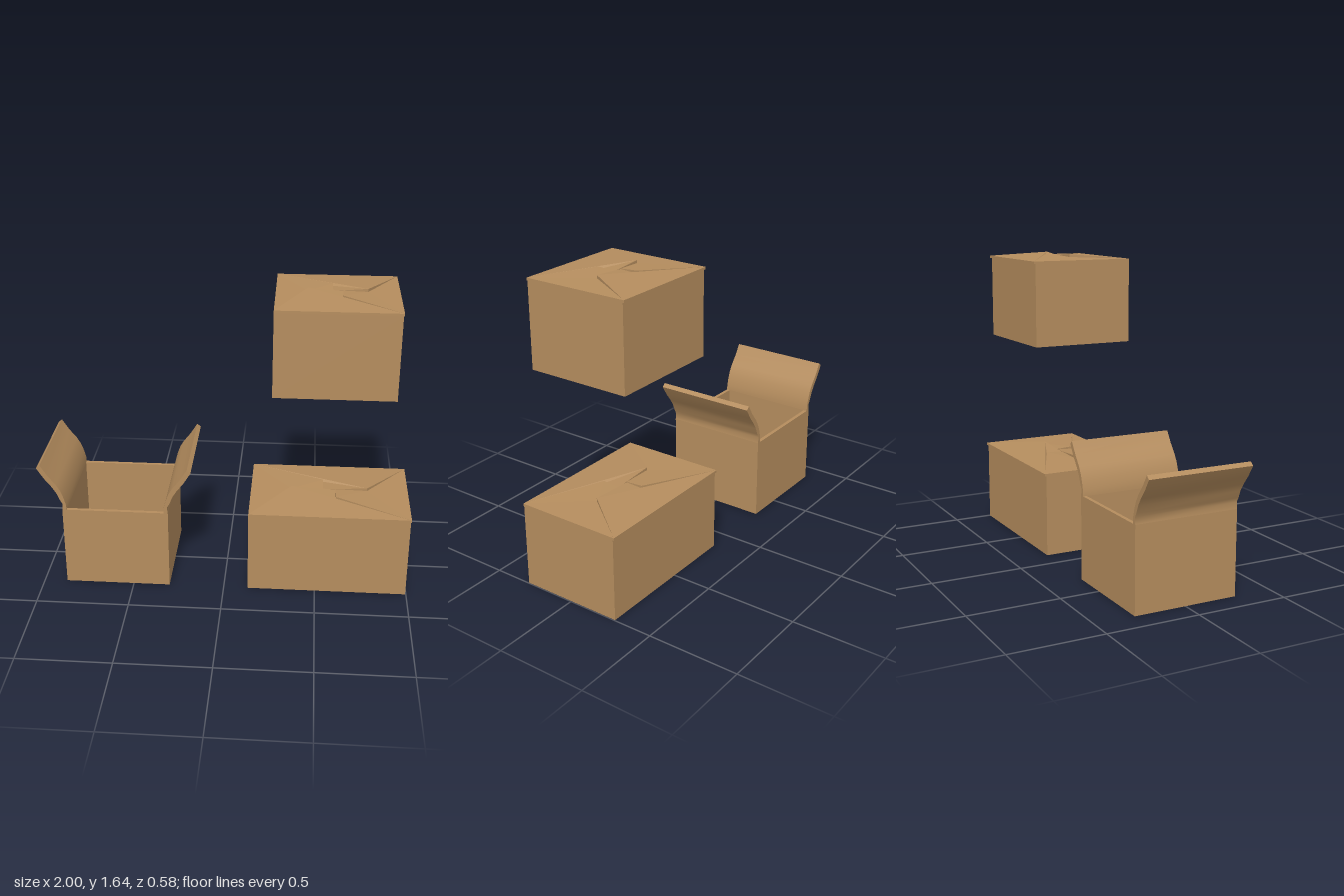
import * as THREE from 'three';
import { toCreasedNormals } from 'three/addons/utils/BufferGeometryUtils.js';

const cardboard = new THREE.MeshStandardMaterial({ color: 0xb58d5e });
cardboard.name = 'cardboard';

function part(name, geometry, parent) {
  const mesh = new THREE.Mesh(geometry, cardboard);
  mesh.name = name;
  parent.add(mesh);
  return mesh;
}

// Box given by its minimum and maximum corners
function block(x0, x1, y0, y1, z0, z1) {
  return new THREE.BoxGeometry(x1 - x0, y1 - y0, z1 - z0)
    .translate((x0 + x1) / 2, (y0 + y1) / 2, (z0 + z1) / 2);
}

// Lid flap outlines as [u, v, rise]; u and v run -1..1 over the lid, first corner starts the fan
const longFlap = [[-0.48, 0, 0.024], [-1, 1, 0], [1, 1, 0], [0.08, 0.33, 0.004], [0.08, 0, 0.009]];
const sideFlap = [[-0.48, 0, 0.008], [-0.08, 0, 0.012], [-0.08, -0.33, 0.018], [-1, -1, 0], [-1, 1, 0]];
const turned = (outline) => outline.map(([u, v, h]) => [-u, -v, h]);
const lidFlaps = {
  frontLidFlap: longFlap,
  rearLidFlap: turned(longFlap),
  leftSideLidFlap: sideFlap,
  rightSideLidFlap: turned(sideFlap),
};

// Bent flap with a flat underside and upright edges
function lidFlap(outline, x0, x1, z0, z1, yBase, yTop) {
  const place = ([u, v, h]) => [
    (x0 + x1) / 2 + u * (x1 - x0) / 2, yTop + h, (z0 + z1) / 2 + v * (z1 - z0) / 2];
  const top = outline.map(place);
  const low = top.map(([x, , z]) => [x, yBase, z]);
  const n = top.length;
  const pos = [];
  for (let i = 1; i < n - 1; i++) {
    pos.push(...top[0], ...top[i], ...top[i + 1], ...low[0], ...low[i + 1], ...low[i]);
  }
  for (let i = 0; i < n; i++) {
    const j = (i + 1) % n;
    pos.push(...top[i], ...low[i], ...low[j], ...top[i], ...low[j], ...top[j]);
  }
  const g = new THREE.BufferGeometry();
  g.setAttribute('position', new THREE.Float32BufferAttribute(pos, 3));
  g.computeVertexNormals();
  return g;
}

// Shut box with four interlocked flaps on top
function closedBox(name, x0, x1, y0, y1) {
  const box = new THREE.Group();
  box.name = name;
  const lidBase = y1 - 0.013;
  part('closedBoxBody', block(x0, x1 - 0.004, y0, lidBase, -0.283, 0.29), box);
  for (const [flapName, outline] of Object.entries(lidFlaps)) {
    part(flapName, lidFlap(outline, x0, x1, -0.293, 0.291, lidBase, y1), box);
  }
  return box;
}

// Open box with two flaps curling outward
function openBox() {
  const box = new THREE.Group();
  box.name = 'openBox';
  const cx = -0.5875, half = 0.287, wall = 0.024, height = 0.455, z0 = -0.284, z1 = 0.29;
  for (const s of [-1, 1]) {
    const x = cx + s * (half - wall / 2);
    part(s < 0 ? 'rightSideWall' : 'leftSideWall',
      block(x - wall / 2, x + wall / 2, 0, height, z0, z1), box);
  }
  const xa = cx - half + wall, xb = cx + half - wall;
  part('frontWall', block(xa, xb, 0, height, z1 - 0.02, z1), box);
  part('rearWall', block(xa, xb, 0, height, z0, z0 + 0.02), box);
  part('boxFloor', block(xa, xb, 0, 0.02, z0 + 0.02, z1 - 0.02), box);

  // Flap section measured outward from the box centre: outer side up, inner side down
  const section = [
    [0.287, 0.455], [0.283, 0.49], [0.297, 0.515], [0.313, 0.555], [0.337, 0.593],
    [0.375, 0.642], [0.4125, 0.702], [0.393, 0.72], [0.354, 0.658], [0.313, 0.606],
    [0.292, 0.57], [0.277, 0.53], [0.265, 0.485], [0.263, 0.455]];
  for (const s of [-1, 1]) {
    const shape = new THREE.Shape(section.map(([x, y]) => new THREE.Vector2(cx + s * x, y)));
    const g = new THREE.ExtrudeGeometry(shape, { depth: z1 - z0, bevelEnabled: false });
    g.translate(0, 0, z0);
    part(s < 0 ? 'rightOpenFlap' : 'leftOpenFlap', toCreasedNormals(g, 0.7), box);
  }
  return box;
}

export function createModel() {
  const model = new THREE.Group();
  model.name = 'cardboardBoxes';
  model.add(openBox());
  model.add(closedBox('longClosedBox', 0.132, 1.0, 0, 0.468));
  model.add(closedBox('raisedClosedBox', 0.247, 0.882, 1.154, 1.621));
  return model;
}
